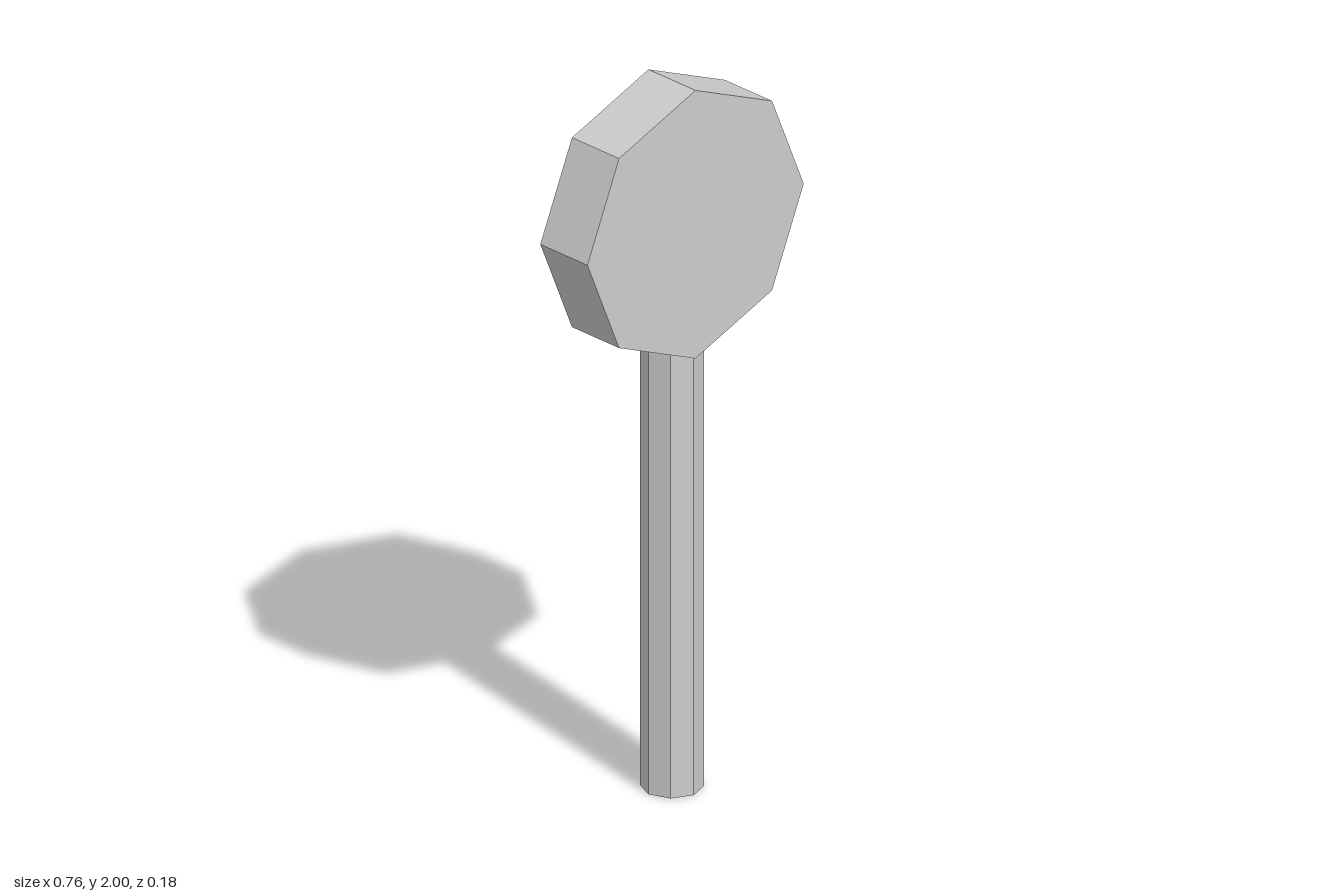
import * as THREE from 'three';

export function createModel() {
  const group = new THREE.Group();
  const material = new THREE.MeshStandardMaterial({ color: 0xcccccc, flatShading: true });

  // Eight-sided prism, corners on the axes
  const addPrism = (name, radius, length, y) => {
    const mesh = new THREE.Mesh(new THREE.CylinderGeometry(radius, radius, length, 8), material);
    mesh.name = name;
    mesh.position.y = y;
    group.add(mesh);
    return mesh;
  };

  // Upright post, its top end sunk into the sign head
  const postHeight = 1.3;
  addPrism('post', 0.083, postHeight, postHeight / 2);

  // Octagonal head, flat faces turned to front and back
  addPrism('signHead', 0.38, 0.18, 1.62).rotation.x = Math.PI / 2;

  return group;
}
